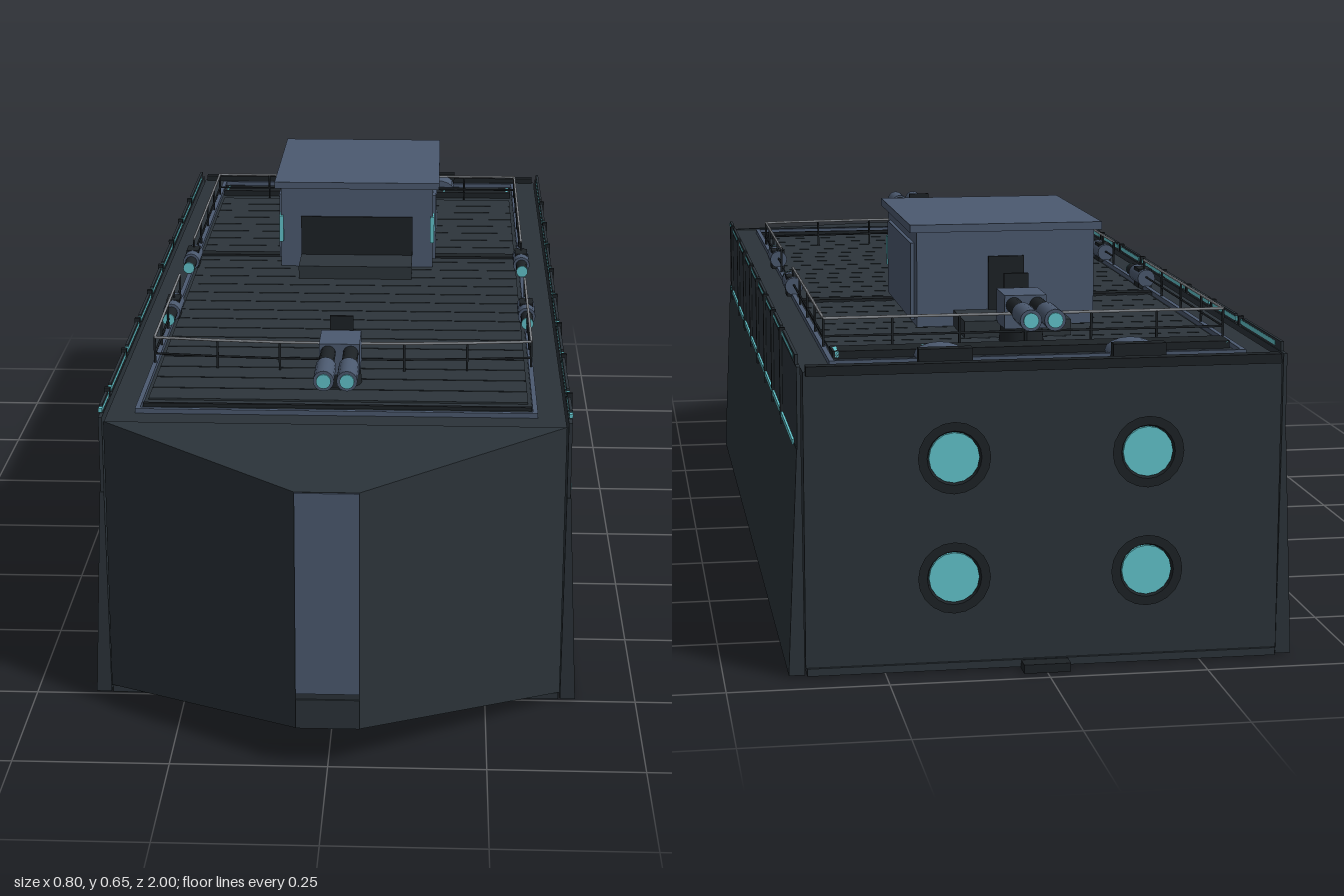
import * as THREE from 'three';

const mat = (name, color) => {
  const m = new THREE.MeshStandardMaterial({ color });
  m.name = name;
  return m;
};

export function createModel() {
  const hullMat = mat('dark hull', 0x2b3339);
  const deckMat = mat('deck grey', 0x2d353b);
  const slate = mat('slate', 0x4c5a70);
  const black = mat('blackened steel', 0x1d2226);
  const cyan = mat('cyan glow', 0x62c4cc);
  const railMat = mat('rail grey', 0x85898e);
  const root = new THREE.Group();
  root.name = 'armouredBarge';

  const add = (name, geo, material, parent = root) => {
    const m = new THREE.Mesh(geo, material);
    m.name = name;
    parent.add(m);
    return m;
  };
  // Box given by its minimum and maximum on each axis
  const box = (name, material, x0, x1, y0, y1, z0, z1, parent = root) => {
    const m = add(name, new THREE.BoxGeometry(x1 - x0, y1 - y0, z1 - z0), material, parent);
    m.position.set((x0 + x1) / 2, (y0 + y1) / 2, (z0 + z1) / 2);
    return m;
  };
  // Cylinder along z, r0 at z0 and r1 at z1
  const tubeZ = (name, material, x, y, z0, z1, r0, r1 = r0, parent = root) => {
    const g = new THREE.CylinderGeometry(r1, r0, z1 - z0, 16).rotateX(Math.PI / 2);
    const m = add(name, g, material, parent);
    m.position.set(x, y, (z0 + z1) / 2);
    return m;
  };
  const rod = (name, material, a, b, r) => {
    const p = new THREE.Vector3(...a), q = new THREE.Vector3(...b);
    const m = add(name, new THREE.CylinderGeometry(r, r, p.distanceTo(q), 6), material);
    m.position.copy(p).add(q).multiplyScalar(0.5);
    m.quaternion.setFromUnitVectors(new THREE.Vector3(0, 1, 0), q.sub(p).normalize());
  };

  // Hull, bottom plate and keel
  box('hull', hullMat, -0.374, 0.374, 0.015, 0.48, -0.945, 0.75);
  box('bottomPlate', hullMat, -0.372, 0.372, 0.003, 0.015, -0.95, 0.75);
  box('keel', black, -0.037, 0.037, 0, 0.014, -0.977, 0.79);
  box('transomCap', black, -0.37, 0.37, 0.475, 0.49, -0.955, -0.935);

  // Tapered bow: a box whose front corners draw in
  let bow = new THREE.BoxGeometry(1, 1, 1);
  const p = bow.attributes.position;
  for (let i = 0; i < p.count; i++) {
    const front = p.getZ(i) > 0, top = p.getY(i) > 0;
    p.setXYZ(i, Math.sign(p.getX(i)) * (front ? 0.05 : 0.374),
      top ? (front ? 0.46 : 0.483) : (front ? 0.065 : 0.016), front ? 0.997 : 0.75);
  }
  bow = bow.toNonIndexed();
  bow.computeVertexNormals();
  add('bow', bow, hullMat);
  box('stemPlate', slate, -0.05, 0.05, 0.125, 0.459, 0.995, 1.0);
  box('stemFoot', hullMat, -0.05, 0.05, 0.066, 0.115, 0.995, 1.0);

  // Sloped side armour with upper strakes, ribs and light strips
  const ribZ = [0.635, 0.42, 0.235, 0.05, -0.13, -0.315, -0.49, -0.67];
  for (const s of [-1, 1]) {
    const side = new THREE.Group();
    side.name = s > 0 ? 'leftArmour' : 'rightArmour';
    root.add(side);
    const sec = new THREE.Shape([[0.375, 0.003], [0.4, 0.003], [0.384, 0.36], [0.377, 0.36]]
      .map(([x, y]) => new THREE.Vector2(s * x, y)));
    const skirt = add('armourSkirt',
      new THREE.ExtrudeGeometry(sec, { depth: 1.69, bevelEnabled: false }), hullMat, side);
    skirt.position.z = -0.942;
    const sx = (name, m, a, b, y0, y1, z0, z1) =>
      box(name, m, Math.min(s * a, s * b), Math.max(s * a, s * b), y0, y1, z0, z1, side);
    sx('lowerLight', cyan, 0.381, 0.3865, 0.357, 0.365, -0.89, 0.7);
    const ends = [0.745, ...ribZ, -0.942];
    for (let i = 0; i < ends.length - 1; i++) {
      sx('upperStrake', hullMat, 0.377, 0.383, 0.36, 0.488, ends[i + 1], ends[i]);
      sx('upperLight', cyan, 0.378, 0.384, 0.492, 0.499,
        Math.max(ends[i + 1] + 0.012, -0.89), ends[i] - 0.012);
      sx('strakeCap', hullMat, 0.3785, 0.3835, 0.487, 0.503,
        ends[i + 1] + 0.022, ends[i] - 0.022);
    }
    for (const z of ribZ) sx('rib', black, 0.378, 0.3875, 0.345, 0.503, z - 0.004, z + 0.004);

    // Deck-edge coaming and light guns
    sx('coaming', slate, 0.321, 0.329, 0.48, 0.488, -0.895, 0.695);
    for (const [z, len] of [[0.13, 0.11], [-0.22, 0.11]]) {
      sx('gunPivot', black, 0.313, 0.337, 0.482, 0.518, z, z + 0.04);
      tubeZ('sideGun', slate, s * 0.325, 0.502, z - 0.01, z + len * 0.6, 0.016, 0.016, side);
      tubeZ('sideBarrel', black, s * 0.325, 0.502, z + len * 0.6, z + len, 0.011, 0.011, side);
      tubeZ('sideMuzzle', cyan, s * 0.325, 0.502, z + len, z + len + 0.003, 0.011, 0.011, side);
    }
    sx('deckLamp', cyan, 0.308, 0.314, 0.482, 0.492, -0.84, -0.8);
    sx('deckLamp', cyan, 0.168, 0.173, 0.482, 0.492, -0.83, -0.8);

    // Aft vents
    tubeZ('aftVent', slate, s * 0.152, 0.485, -0.915, -0.85, 0.04, 0.04, side).scale.y = 0.5;
    sx('ventCover', black, 0.11, 0.194, 0.48, 0.507, -0.925, -0.905);
  }

  // Deck planks and coaming ends
  for (let i = 0; i < 24; i++) {
    const z = -0.76 + i * 0.058;
    box('deckPlank', deckMat, -0.315, 0.315, 0.478, 0.483, z, z + 0.055);
  }
  for (const z of [-0.895, 0.695]) box('coamingEnd', slate, -0.329, 0.329, 0.48, 0.488, z - 0.004, z + 0.004);
  box('aftBeam', black, -0.318, 0.318, 0.48, 0.492, -0.84, -0.79);
  box('deckSeam', black, -0.32, 0.32, 0.48, 0.486, 0.658, 0.664);
  box('deckSeam', black, -0.32, 0.32, 0.48, 0.487, -0.295, -0.27);

  // Railings
  const H = 0.533, M = 0.504, B = 0.48;
  const curve = [-0.325, -0.215, -0.107, 0, 0.107, 0.215, 0.325]
    .map((x) => [x, 0.472 - 0.022 * (x / 0.325) ** 2]);
  const runs = [curve, curve.map(([x]) => [x, -0.77])];
  for (const s of [-1, 1]) {
    runs.push([0.05, 0.15, 0.25, 0.35, 0.45].map((z) => [s * 0.325, z]));
    runs.push([-0.77, -0.63, -0.49, -0.35, -0.21].map((z) => [s * 0.325, z]));
  }
  for (const run of runs) run.forEach(([x, z], i) => {
    rod('railPost', black, [x, B, z], [x, H, z], 0.0022);
    if (!i) return;
    const [a, c] = run[i - 1];
    rod('topRail', railMat, [a, H, c], [x, H, z], 0.0025);
    rod('midRail', black, [a, M, c], [x, M, z], 0.002);
  });

  // Cabin
  const cabin = new THREE.Group();
  cabin.name = 'cabin';
  root.add(cabin);
  box('cabinBody', slate, -0.15, 0.15, 0.48, 0.642, -0.583, -0.202, cabin);
  box('cabinRoof', slate, -0.162, 0.162, 0.642, 0.655, -0.59, -0.195, cabin);
  box('frontWindow', black, -0.11, 0.11, 0.505, 0.585, -0.203, -0.198, cabin);
  box('frontStep', deckMat, -0.11, 0.11, 0.48, 0.508, -0.2, -0.11, cabin);
  box('aftStep', deckMat, -0.088, 0.088, 0.48, 0.51, -0.7, -0.583, cabin);
  box('aftLight', cyan, -0.004, 0.004, 0.51, 0.513, -0.69, -0.595, cabin);
  box('aftDoor', black, -0.03, 0.03, 0.51, 0.6, -0.588, -0.58, cabin);
  for (const s of [-1, 1]) {
    const a = s * 0.15, b = s * 0.156;
    box('sidePanel', slate, Math.min(a, b), Math.max(a, b), 0.49, 0.62, -0.55, -0.24, cabin);
    const c = s * 0.145, d = s * 0.153;
    box('sideWindow', cyan, Math.min(c, d), Math.max(c, d), 0.535, 0.587, -0.228, -0.194, cabin);
  }

  // Twin-barrel turrets, fore and aft
  for (const [name, z, turn] of [['foreTurret', 0.53, 0], ['aftTurret', -0.73, Math.PI]]) {
    const t = new THREE.Group();
    t.name = name;
    t.position.z = z;
    t.rotation.y = turn;
    root.add(t);
    const base = add('turretBase', new THREE.CylinderGeometry(0.034, 0.037, 0.03, 16), black, t);
    base.position.y = 0.495;
    box('turretBody', slate, -0.034, 0.034, 0.508, 0.562, -0.04, 0.04, t);
    box('sightPlate', black, -0.02, 0.02, 0.51, 0.585, -0.052, -0.046, t);
    for (const x of [-0.019, 0.019]) {
      tubeZ('barrel', black, x, 0.546, 0.03, 0.13, 0.013, 0.013, t);
      tubeZ('barrelSleeve', slate, x, 0.546, 0.115, 0.19, 0.017, 0.017, t);
      tubeZ('muzzle', cyan, x, 0.546, 0.19, 0.193, 0.012, 0.012, t);
    }
  }

  // Flared stern thrusters
  const bell = [[0, 0], [0.034, 0], [0.056, 0.036], [0.042, 0.036], [0.036, 0.02], [0, 0.02]]
    .map(([r, h]) => new THREE.Vector2(r, h));
  for (const x of [-0.15, 0.15]) for (const y of [0.165, 0.352]) {
    tubeZ('thrusterNeck', black, x, y, -0.968, -0.94, 0.034);
    const g = new THREE.LatheGeometry(bell, 20).toNonIndexed();
    g.computeVertexNormals();
    const n = add('thrusterBell', g.rotateX(-Math.PI / 2), black);
    n.position.set(x, y, -0.964);
    tubeZ('thrusterGlow', cyan, x, y, -0.997, -0.984, 0.039);
  }
  return root;
}
